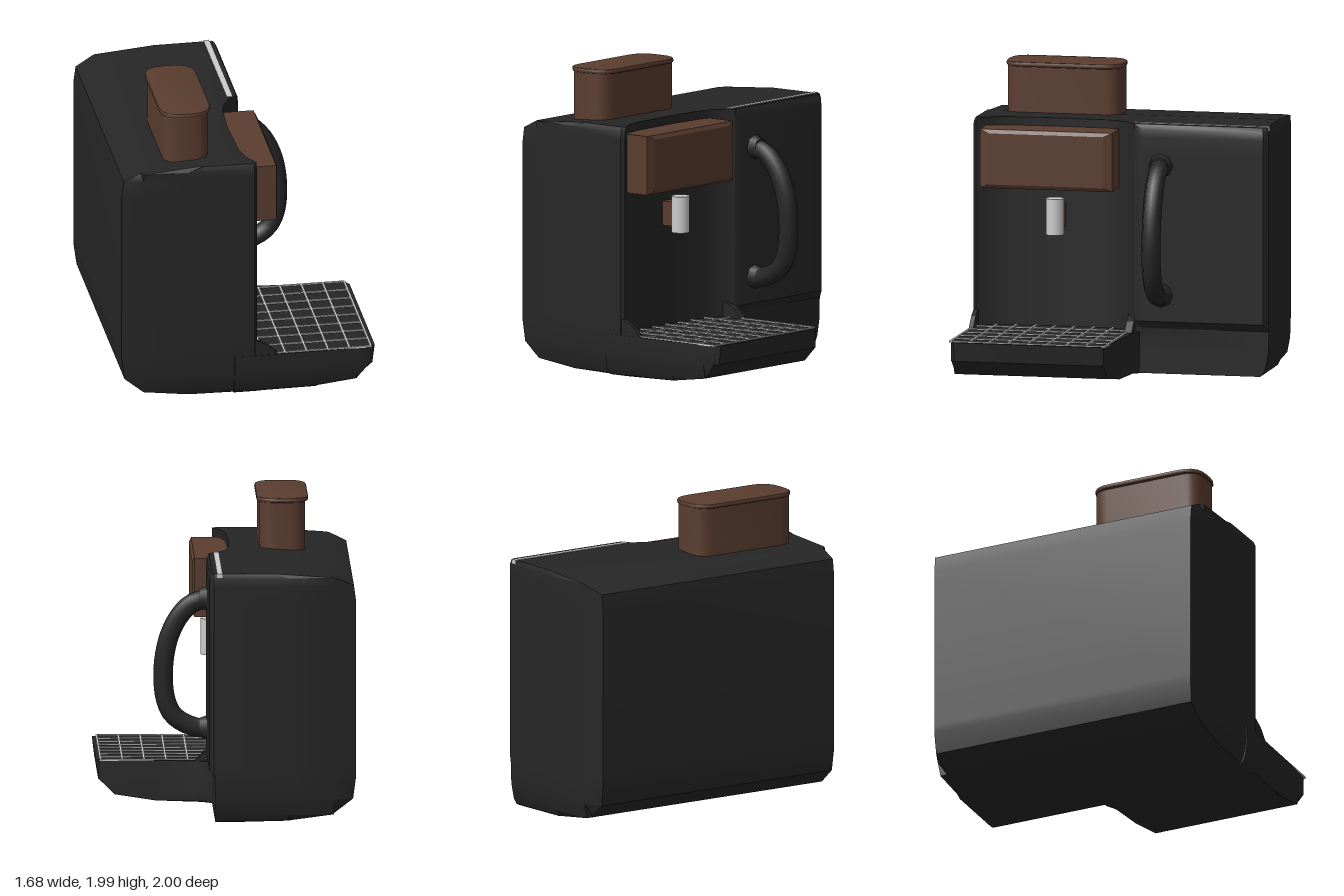
import * as THREE from 'three';
import { toCreasedNormals } from 'three/addons/utils/BufferGeometryUtils.js';

const black = new THREE.MeshStandardMaterial({ color: 0x262626 });
const brown = new THREE.MeshStandardMaterial({ color: 0x5a3d2f });
const steel = new THREE.MeshStandardMaterial({ color: 0xcccccc });

// Loft a plan outline [x, z] through levels [y, minX, maxX, zScale], closed with caps.
function loft(outline, levels) {
  const n = outline.length, pos = [], idx = [];
  const rings = levels.map(([y, lo, hi, s]) =>
    outline.map(([x, z]) => [Math.min(hi, Math.max(lo, x)), y, z * s]));
  rings.forEach(r => r.forEach(p => pos.push(...p)));
  for (let j = 0; j < rings.length - 1; j++) {
    for (let i = 0; i < n; i++) {
      const a = j * n + i, b = j * n + (i + 1) % n;
      idx.push(a, a + n, b + n, a, b + n, b);
    }
  }
  const cap = (ring, base, up) => {
    const pts = ring.map(p => new THREE.Vector2(p[0], p[2]));
    for (const [a, b, c] of THREE.ShapeUtils.triangulateShape(pts, [])) {
      const area = THREE.ShapeUtils.area([pts[a], pts[b], pts[c]]);
      if ((area < 0) === up) idx.push(base + a, base + b, base + c);
      else idx.push(base + a, base + c, base + b);
    }
  };
  cap(rings[0], 0, false);
  cap(rings[rings.length - 1], (rings.length - 1) * n, true);
  const geo = new THREE.BufferGeometry();
  geo.setAttribute('position', new THREE.Float32BufferAttribute(pos, 3));
  geo.setIndex(idx);
  return toCreasedNormals(geo, 0.5);
}

// Rounded-rectangle slab lying flat, with its base at y = 0.
function roundedSlab(w, d, r, h, bevel = 0) {
  const x = w / 2 - bevel, z = d / 2 - bevel, s = new THREE.Shape();
  s.moveTo(-x + r, -z);
  s.lineTo(x - r, -z).quadraticCurveTo(x, -z, x, -z + r);
  s.lineTo(x, z - r).quadraticCurveTo(x, z, x - r, z);
  s.lineTo(-x + r, z).quadraticCurveTo(-x, z, -x, z - r);
  s.lineTo(-x, -z + r).quadraticCurveTo(-x, -z, -x + r, -z);
  const geo = new THREE.ExtrudeGeometry(s, {
    depth: h - 2 * bevel, curveSegments: 5, bevelEnabled: bevel > 0,
    bevelSize: bevel, bevelThickness: bevel, bevelSegments: 2,
  });
  geo.rotateX(-Math.PI / 2).translate(0, bevel, 0);
  return toCreasedNormals(geo, 0.6);
}

export function createModel() {
  const model = new THREE.Group();
  const add = (parent, name, geo, mat, x = 0, y = 0, z = 0) => {
    const mesh = new THREE.Mesh(geo, mat);
    mesh.name = name;
    mesh.position.set(x, y, z);
    parent.add(mesh);
    return mesh;
  };
  const box = (w, h, d) => new THREE.BoxGeometry(w, h, d);

  // Housing with a scooped working face and a full-depth rear tank section
  const plan = [
    [-0.845, -0.92], [-0.7, -0.97], [-0.4, -0.995], [0.09, -1], [0.12, -0.97],
    [0.12, -0.15], [0.1, -0.1], [0.045, -0.06], [0, 0.01], [-0.03, 0.12],
    [-0.042, 0.4], [-0.03, 0.77], [0, 0.89], [0.05, 0.98], [0.03, 1],
    [-0.4, 0.995], [-0.7, 0.98], [-0.845, 0.95],
  ];
  add(model, 'housing', loft(plan, [
    [0, -0.05, 0.08, 0.94], [0.01, -0.42, 0.08, 0.955], [0.05, -0.7, 0.08, 0.975],
    [0.15, -0.825, 0.08, 0.995], [0.3, -0.845, 0.08, 1], [0.35, -0.845, 0.12, 1],
    [1.46, -0.845, 0.12, 1], [1.57, -0.83, 0.12, 1], [1.625, -0.72, 0.115, 0.998],
    [1.655, -0.3, 0.1, 0.985],
  ]), black);

  // Drip tray base, curving up underneath
  const trayPlan = [
    [-0.1, -0.13], [0.12, -0.13], [0.2, -0.1], [0.45, -0.08], [0.72, -0.065],
    [0.82, -0.055], [0.84, -0.02], [0.84, 0.95], [0.8, 0.975], [0.72, 0.985],
    [0.45, 0.995], [0.05, 1], [-0.1, 1],
  ];
  add(model, 'dripTray', loft(trayPlan, [
    [0, -0.1, 0.1, 0.95], [0.01, -0.1, 0.45, 0.965], [0.05, -0.1, 0.72, 0.985],
    [0.15, -0.1, 0.825, 1], [0.275, -0.1, 0.84, 1],
  ]), black);

  // Small fillets where the tray meets the housing edges
  const wedge = new THREE.Shape([[-0.02, 0.26], [0.19, 0.26], [0.19, 0.278],
    [0.12, 0.345], [0.05, 0.38], [-0.02, 0.38]].map(p => new THREE.Vector2(...p)));
  for (const [z, depth] of [[-0.1, 0.05], [0.965, 0.03]]) {
    add(model, 'trayFillet', new THREE.ExtrudeGeometry(wedge, { depth, bevelEnabled: false }),
      black, 0, 0, z);
  }

  // Wire grille on the tray
  const grille = new THREE.Group();
  grille.name = 'trayGrille';
  model.add(grille);
  for (let i = 0; i < 6; i++) {
    add(grille, 'grilleLongBar', box(0.013, 0.012, 1.04), steel, 0.095 + i * 0.143, 0.277, 0.46);
  }
  for (let i = 0; i < 9; i++) {
    add(grille, 'grilleCrossBar', box(0.84, 0.012, 0.013), steel, 0.39, 0.277, -0.06 + i * 0.13);
  }

  // Brew head with a chamfered face
  add(model, 'brewHead', box(0.25, 0.39, 0.89), brown, 0.065, 1.405, 0.475);
  const face = new THREE.CylinderGeometry(Math.SQRT1_2 * 0.87, Math.SQRT1_2, 0.016, 4, 1);
  face.rotateY(Math.PI / 4).rotateZ(-Math.PI / 2).scale(1, 0.39, 0.89);
  add(model, 'brewHeadFace', face.toNonIndexed(), brown, 0.198, 1.405, 0.475)
    .geometry.computeVertexNormals();

  // Spout and its bracket
  add(model, 'spoutBracket', box(0.12, 0.16, 0.09), brown, 0, 1.02, 0.44);
  add(model, 'spout', new THREE.CylinderGeometry(0.06, 0.06, 0.24, 24), steel, 0.08, 1.02, 0.44);

  // Bean hopper and lid
  add(model, 'hopper', roundedSlab(0.3, 0.77, 0.11, 0.37), brown, -0.39, 1.6, 0.465);
  add(model, 'hopperLid', roundedSlab(0.34, 0.79, 0.13, 0.033, 0.012), brown, -0.39, 1.957, 0.465);

  // Trim strip along the rear tank's top edge
  add(model, 'tankTrim', box(0.036, 0.05, 0.91), steel, 0.052, 1.634, -0.54);

  // Side handle with flared mounts
  const path = new THREE.CatmullRomCurve3([
    [0.08, 1.38], [0.2, 1.36], [0.29, 1.28], [0.37, 1.12], [0.405, 0.9],
    [0.385, 0.7], [0.33, 0.6], [0.2, 0.53], [0.08, 0.52],
  ].map(([x, y]) => new THREE.Vector3(x, y, 0)));
  const handle = new THREE.Group();
  handle.name = 'handle';
  handle.position.z = -0.28;
  model.add(handle);
  add(handle, 'handleGrip', new THREE.TubeGeometry(path, 28, 0.064, 8), black);
  for (const y of [1.385, 0.525]) {
    const mount = new THREE.CylinderGeometry(0.062, 0.085, 0.06, 8);
    add(handle, 'handleMount', mount.rotateZ(-Math.PI / 2), black, 0.14, y);
  }
  return model;
}
